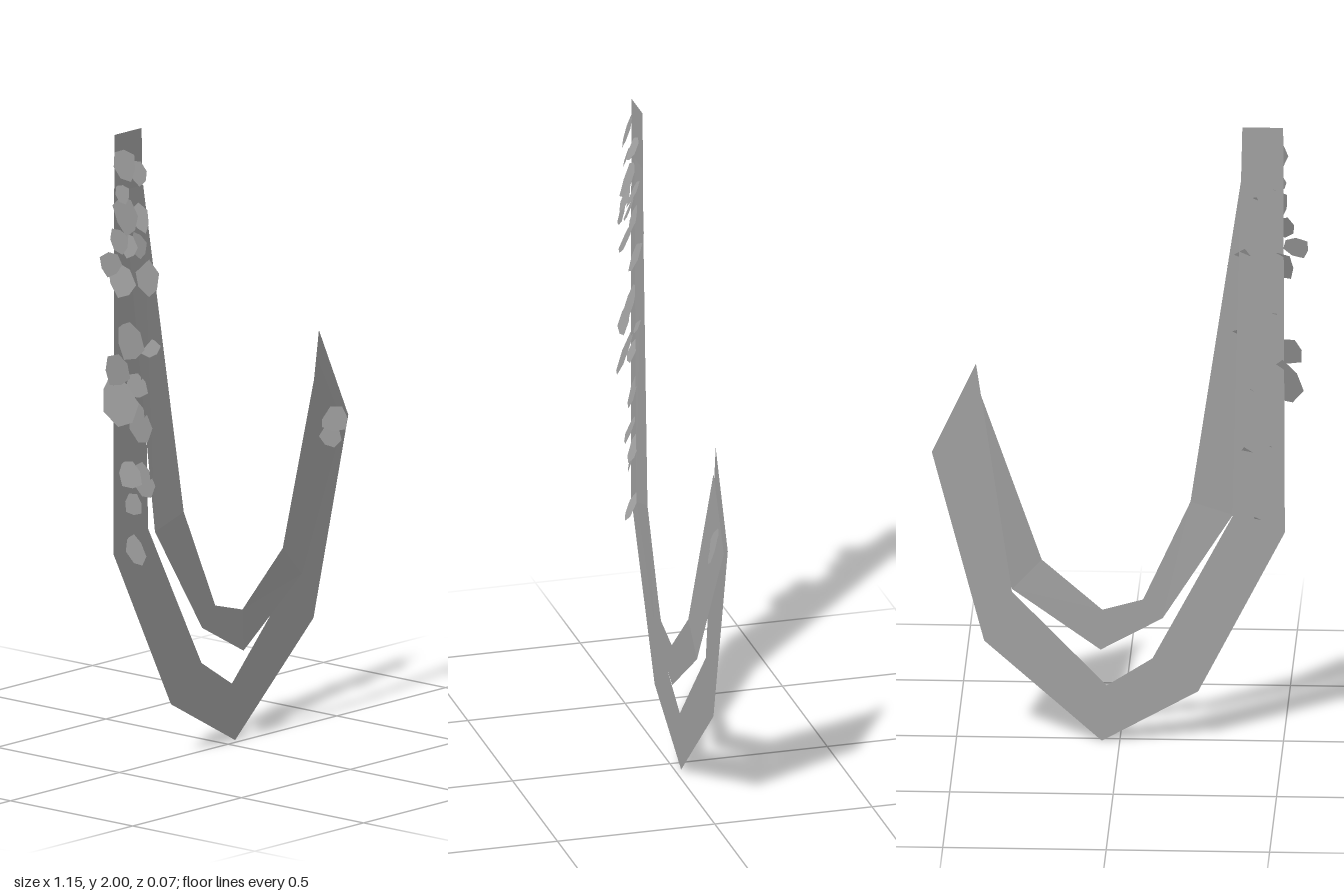
import * as THREE from 'three';

// Flat ribbon from cross-sections [outer x, outer y, outer z, inner x, inner y, inner z]
function ribbon(sections, material, name) {
  const index = [];
  for (let i = 0; i < sections.length - 1; i++) {
    const a = i * 2;
    index.push(a, a + 2, a + 1, a + 1, a + 2, a + 3);
  }
  const geometry = new THREE.BufferGeometry();
  geometry.setAttribute('position', new THREE.Float32BufferAttribute(sections.flat(), 3));
  geometry.setIndex(index);
  geometry.computeVertexNormals();
  const mesh = new THREE.Mesh(geometry, material);
  mesh.name = name;
  return mesh;
}

// Irregular seven-sided leaf; the shape varies with its seed
function leaf([x, y, w, h], seed, material) {
  const points = [];
  for (let k = 0; k < 7; k++) {
    const angle = (k / 7) * Math.PI * 2 + seed * 1.3;
    const r = 0.52 + 0.06 * Math.sin(seed * 4.1 + k * 2.7);
    points.push(new THREE.Vector2(Math.cos(angle) * w * r, Math.sin(angle) * h * r));
  }
  const mesh = new THREE.Mesh(new THREE.ShapeGeometry(new THREE.Shape(points)), material);
  mesh.name = 'leaf';
  mesh.position.set(x, y, 0);
  mesh.rotation.set(-0.38 + 0.08 * Math.sin(seed * 2.3), -0.17 + 0.1 * Math.sin(seed * 3.7), 0);
  return mesh;
}

export function createModel() {
  const group = new THREE.Group();
  group.name = 'hangingVine';
  const grey = new THREE.MeshStandardMaterial({ color: 0xa6a6a6, side: THREE.DoubleSide, flatShading: true });
  grey.name = 'vine grey';

  // Wide rear stem, flat in one plane
  const b = -0.02;
  group.add(ribbon([
    [-0.5, 2, b, -0.375, 2, b],
    [-0.505, 0.685, b, -0.345, 0.735, b],
    [-0.24, 0.165, b, -0.1, 0.27, b],
    [0.055, 0, b, 0.04, 0.18, b],
    [0.415, 0.32, b, 0.33, 0.48, b],
    [0.575, 0.93, b, 0.44, 1.22, b],
  ], grey, 'rearStem'));

  // Narrow front stem, its belly swinging slightly forward
  group.add(ribbon([
    [-0.46, 1.82, -0.018, -0.37, 1.82, -0.018],
    [-0.345, 0.73, 0.008, -0.215, 0.77, 0.01],
    [-0.13, 0.39, 0.01, -0.07, 0.45, 0.01],
    [0.06, 0.285, 0.01, 0.055, 0.415, 0.01],
    [0.33, 0.478, 0.008, 0.24, 0.575, 0.01],
    [0.545, 0.91, -0.016, 0.43, 1.13, -0.016],
  ], grey, 'frontStem'));

  // Leaves: x, y, width, height
  const leaves = new THREE.Group();
  leaves.name = 'leaves';
  [
    [-0.475, 1.905, 0.08, 0.1], [-0.415, 1.87, 0.07, 0.08], [-0.485, 1.815, 0.05, 0.06],
    [-0.47, 1.745, 0.09, 0.12], [-0.405, 1.73, 0.06, 0.1], [-0.54, 1.605, 0.08, 0.075],
    [-0.5, 1.67, 0.07, 0.08], [-0.46, 1.65, 0.06, 0.08], [-0.41, 1.64, 0.06, 0.08],
    [-0.49, 1.545, 0.09, 0.11], [-0.375, 1.54, 0.085, 0.13], [-0.45, 1.345, 0.1, 0.12],
    [-0.36, 1.31, 0.07, 0.06], [-0.51, 1.265, 0.1, 0.1], [-0.5, 1.165, 0.12, 0.16],
    [-0.42, 1.2, 0.08, 0.08], [-0.405, 1.08, 0.08, 0.13], [-0.45, 0.925, 0.08, 0.09],
    [-0.39, 0.9, 0.08, 0.12], [-0.435, 0.83, 0.06, 0.07], [-0.425, 0.685, 0.07, 0.1],
    [0.49, 0.935, 0.1, 0.08], [0.47, 0.89, 0.08, 0.08],
  ].forEach((spec, i) => leaves.add(leaf(spec, i + 1, grey)));
  group.add(leaves);

  return group;
}
